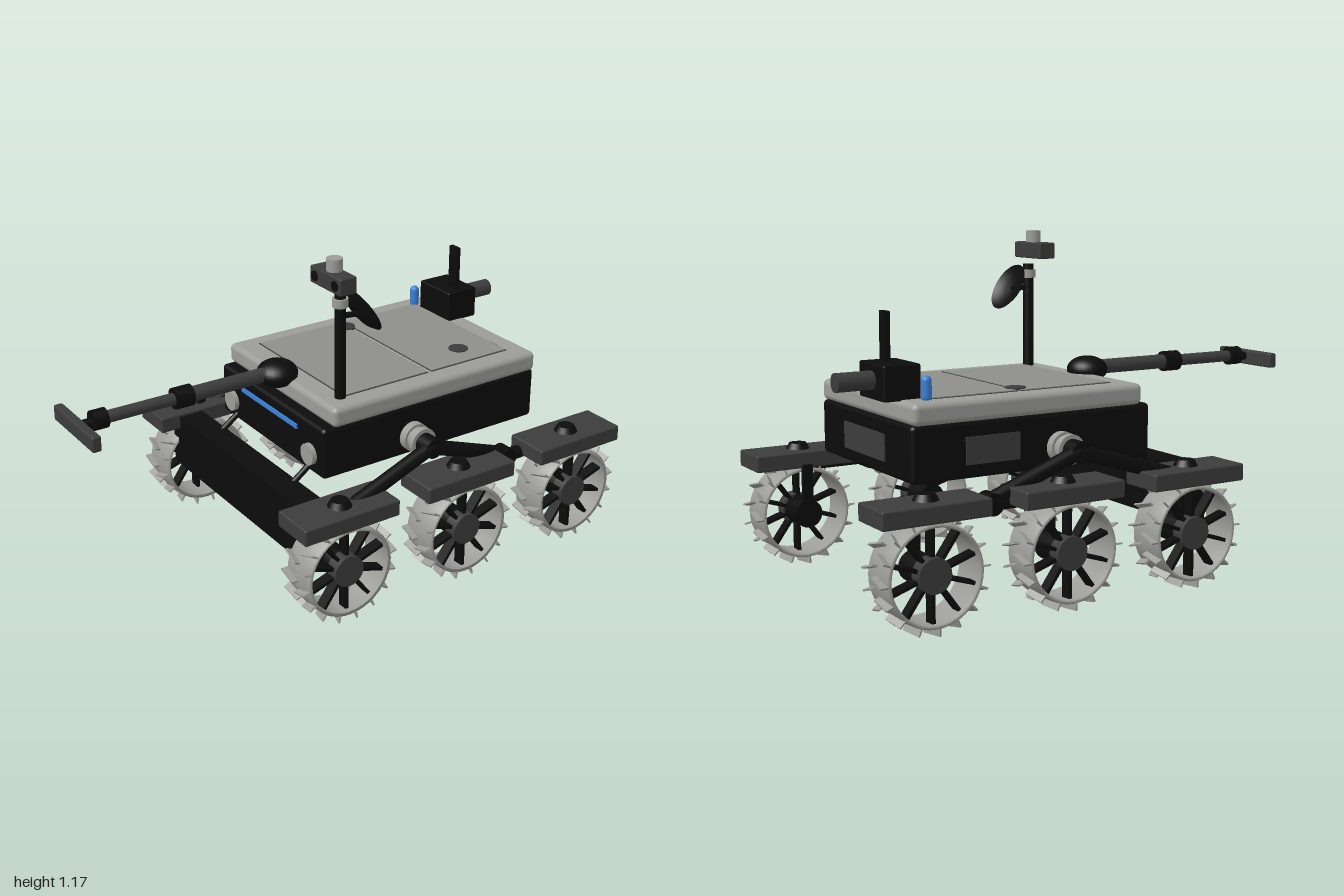
import * as THREE from 'three';
import { RoundedBoxGeometry } from 'three/addons/geometries/RoundedBoxGeometry.js';

const material = (name, color, extra = {}) => {
  const m = new THREE.MeshStandardMaterial({ color, ...extra });
  m.name = name;
  return m;
};
const black = material('black', 0x0c0c0c);
const blackShell = material('black shell', 0x0c0c0c, { side: THREE.DoubleSide });
const darkGrey = material('dark grey', 0x3c3c3c);
const silver = material('silver', 0x9c9c98);
const rimSilver = material('rim silver', 0x9c9c98, { side: THREE.DoubleSide });
const panelGrey = material('panel grey', 0x8e8e8a);
const blue = material('blue', 0x3a80d8);

function add(parent, name, geometry, mat, x = 0, y = 0, z = 0) {
  const mesh = new THREE.Mesh(geometry, mat);
  mesh.name = name;
  mesh.position.set(x, y, z);
  parent.add(mesh);
  return mesh;
}
const box = (w, h, d) => new THREE.BoxGeometry(w, h, d);
const rounded = (w, h, d, r) => new RoundedBoxGeometry(w, h, d, 3, r);
// Cylinder along a chosen axis
function cyl(axis, r, length, r2 = r, sides = 24) {
  const g = new THREE.CylinderGeometry(r2, r, length, sides);
  if (axis === 'x') g.rotateZ(-Math.PI / 2);
  if (axis === 'z') g.rotateX(Math.PI / 2);
  return g;
}
// Round bar between two points
function bar(parent, name, a, b, r, mat) {
  const from = new THREE.Vector3(...a), to = new THREE.Vector3(...b);
  const dir = to.clone().sub(from);
  const mesh = add(parent, name, cyl('y', r, dir.length(), r, 16), mat);
  mesh.position.copy(from).addScaledVector(dir, 0.5);
  mesh.quaternion.setFromUnitVectors(new THREE.Vector3(0, 1, 0), dir.normalize());
  return mesh;
}

// Open wheel with spokes and staggered, slanted grousers; side is +1 or -1 for outward x
function wheel(side) {
  const g = new THREE.Group();
  g.name = 'wheel';
  const w = 0.066;
  const profile = [[0.15, -w], [0.162, -w], [0.166, 0], [0.162, w], [0.15, w], [0.154, 0], [0.15, -w]];
  const rim = new THREE.LatheGeometry(profile.map(p => new THREE.Vector2(...p)), 40);
  rim.rotateZ(Math.PI / 2);
  add(g, 'rim', rim, rimSilver);
  for (let i = 0; i < 10; i++) {
    const spoke = box(0.04, 0.115, 0.012);
    spoke.translate(side * 0.025, 0.1, 0);
    spoke.rotateX(i * Math.PI / 5);
    add(g, 'spoke', spoke, black);
  }
  const count = 16;
  for (let i = 0; i < count * 2; i++) {
    const s = i % 2 ? 1 : -1;
    const cleat = box(0.07, 0.026, 0.006);
    cleat.rotateY(s * 0.3);
    cleat.translate(s * 0.034, 0.173, 0);
    cleat.rotateX(i * Math.PI / count);
    add(g, 'grouser', cleat, silver);
  }
  add(g, 'hubCap', cyl('x', 0.056, 0.05), darkGrey, side * 0.035);
  add(g, 'wheelMotor', cyl('x', 0.05, 0.1), black, -side * 0.04);
  return g;
}

export function createModel() {
  const model = new THREE.Group();
  model.name = 'rover';
  const rover = new THREE.Group();
  rover.name = 'roverBody';
  rover.position.x = -0.045;
  model.add(rover);
  model.rotation.y = -0.22;

  // Chassis and deck
  add(rover, 'chassis', rounded(0.67, 0.185, 0.91, 0.015), black, 0, 0.512, -0.205);
  add(rover, 'deck', rounded(0.69, 0.072, 0.87, 0.02), silver, 0, 0.639, -0.222);
  for (const [z, d] of [[-0.41, 0.34], [-0.049, 0.354]]) {
    add(rover, 'deckSeam', box(0.55, 0.003, d), darkGrey, 0, 0.675, z);
    add(rover, 'deckPanel', box(0.542, 0.008, d - 0.008), panelGrey, 0, 0.675, z);
  }
  for (const [x, z] of [[0.173, -0.438], [-0.225, -0.22]])
    add(rover, 'deckPort', cyl('y', 0.035, 0.008), darkGrey, x, 0.679, z);
  add(rover, 'rearPanel', box(0.3, 0.09, 0.008), darkGrey, 0, 0.51, -0.661);
  add(rover, 'sidePanel', box(0.008, 0.09, 0.2), darkGrey, -0.336, 0.51, -0.37);

  // Front face: light strip and lamps
  add(rover, 'lightStrip', box(0.363, 0.016, 0.009), blue, -0.005, 0.558, 0.252);
  for (const s of [-1, 1]) {
    add(rover, 'lamp', cyl('z', 0.038, 0.03), silver, s * 0.256, 0.49, 0.252);
    bar(rover, 'frontStrut', [s * 0.24, 0.45, 0.23], [s * 0.24, 0.37, 0.34], 0.011, black);
  }
  add(rover, 'frontBeam', box(0.91, 0.2, 0.095), black, 0, 0.3, 0.35);

  // Suspension and wheels on both sides
  for (const s of [-1, 1]) {
    const side = new THREE.Group();
    side.name = s > 0 ? 'leftSuspension' : 'rightSuspension';
    rover.add(side);
    add(side, 'pivotBase', cyl('x', 0.052, 0.04), silver, s * 0.345, 0.49, -0.115);
    add(side, 'pivotRing', cyl('x', 0.042, 0.03), silver, s * 0.375, 0.49, -0.115);
    add(side, 'pivotCap', cyl('x', 0.05, 0.02), silver, s * 0.395, 0.49, -0.115);
    add(side, 'rockerJoint', cyl('x', 0.036, 0.06), black, s * 0.435, 0.49, -0.115);
    bar(side, 'rockerFront', [s * 0.445, 0.49, -0.115], [s * 0.48, 0.37, 0.28], 0.026, black);
    bar(side, 'rockerRear', [s * 0.445, 0.49, -0.115], [s * 0.445, 0.37, -0.445], 0.026, black);
    bar(side, 'bogieBar', [s * 0.445, 0.36, -0.2], [s * 0.445, 0.36, -0.69], 0.024, black);
    add(side, 'bogieJoint', cyl('x', 0.036, 0.06), black, s * 0.44, 0.36, -0.445);
    for (const z of [0.288, -0.203, -0.694]) {
      add(side, 'fender', rounded(0.165, 0.058, 0.37, 0.006), darkGrey, s * 0.486, 0.381, z);
      add(side, 'steeringCap', cyl('y', 0.042, 0.022, 0.03), black, s * 0.486, 0.42, z);
      add(side, 'wheelStrut', box(0.02, 0.18, 0.035), black, s * 0.406, 0.275, z);
      const w = wheel(s);
      w.position.set(s * 0.486, 0.188, z);
      side.add(w);
    }
  }

  // Mast, camera head and dish
  const mast = new THREE.Group();
  mast.name = 'mast';
  mast.position.set(0.27, 0, 0.14);
  rover.add(mast);
  add(mast, 'mastPole', cyl('y', 0.019, 0.39), black, 0, 0.855, 0);
  add(mast, 'mastCollar', cyl('y', 0.027, 0.03), silver, 0, 1.015, 0);
  add(mast, 'cameraHead', rounded(0.176, 0.058, 0.064, 0.005), darkGrey, 0, 1.1, 0.027);
  add(mast, 'headCap', cyl('y', 0.027, 0.042), silver, 0, 1.15, 0.022);
  for (const s of [-1, 1])
    add(mast, 'lens', cyl('z', 0.017, 0.01), black, s * 0.058, 1.1, 0.059);
  const dishProfile = [[0.001, -0.02], [0.04, -0.016], [0.07, -0.007], [0.09, 0.006]];
  const dish = add(mast, 'dish', new THREE.LatheGeometry(dishProfile.map(p => new THREE.Vector2(...p)), 32),
    blackShell, -0.004, 0.967, -0.085);
  dish.rotation.x = -Math.PI / 3;
  bar(mast, 'dishMount', [0, 0.967, 0], [0, 0.96, -0.07], 0.01, black);

  // Robotic arm reaching forward
  const arm = new THREE.Group();
  arm.name = 'arm';
  arm.position.y = 0.69;
  rover.add(arm);
  const shoulder = add(arm, 'shoulder', new THREE.SphereGeometry(0.073, 24, 16), black, 0, -0.005, 0.22);
  shoulder.scale.y = 0.66;
  add(arm, 'upperArm', cyl('z', 0.026, 0.36), darkGrey, 0, 0, 0.41);
  add(arm, 'elbow', cyl('z', 0.037, 0.065), black, 0, 0, 0.59);
  add(arm, 'forearm', cyl('z', 0.021, 0.3), darkGrey, 0, 0, 0.745);
  add(arm, 'wrist', cyl('z', 0.034, 0.05), black, 0, 0, 0.893);
  add(arm, 'toolStem', cyl('z', 0.016, 0.05), black, 0, -0.005, 0.935);
  add(arm, 'toolBar', rounded(0.295, 0.054, 0.032, 0.006), darkGrey, 0, -0.01, 0.968);

  // Rear power unit, antenna blade and beacon
  add(rover, 'powerUnit', rounded(0.178, 0.115, 0.13, 0.006), black, -0.15, 0.728, -0.64);
  add(rover, 'powerCylinder', cyl('z', 0.031, 0.14), darkGrey, -0.152, 0.732, -0.762);
  add(rover, 'antenna', box(0.046, 0.17, 0.016), black, -0.113, 0.86, -0.638);
  add(rover, 'beacon', new THREE.CapsuleGeometry(0.017, 0.05, 6, 16), blue, -0.275, 0.71, -0.576);

  return model;
}
